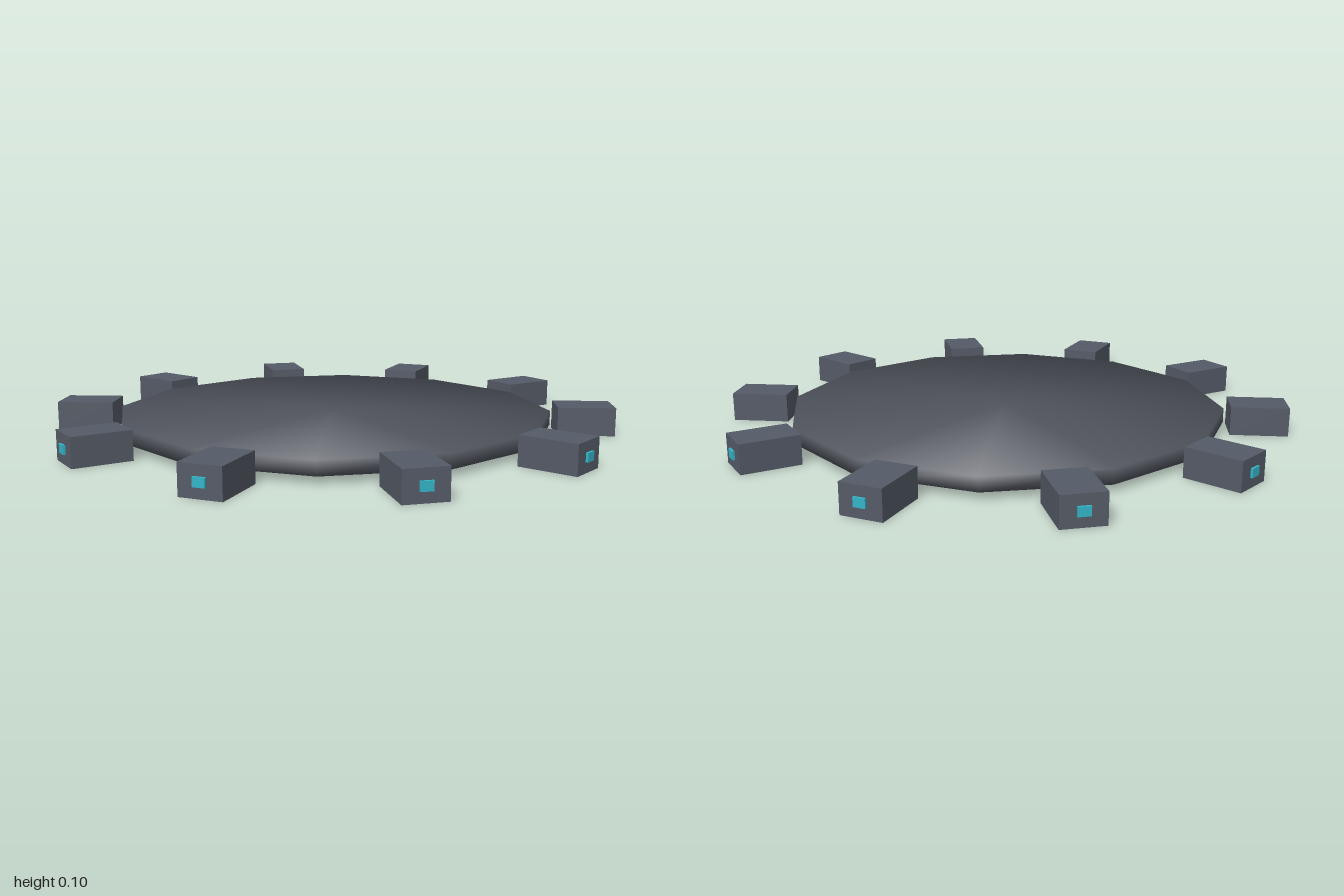
import * as THREE from 'three';

const material = (color) => new THREE.MeshStandardMaterial({ color });

// Twelve-sided disc whose normals lean outward, so rim and faces shade as one soft form
function createDisc(radius, height) {
  const geometry = new THREE.CylinderGeometry(radius, radius, height, 12);
  const position = geometry.attributes.position;
  const normal = geometry.attributes.normal;
  for (let i = 0; i < position.count; i++) {
    normal.setXYZ(
      i,
      (position.getX(i) / radius) * Math.SQRT1_2,
      Math.sign(position.getY(i)) * Math.SQRT1_2,
      (position.getZ(i) / radius) * Math.SQRT1_2
    );
  }
  return geometry;
}

export function createModel() {
  const model = new THREE.Group();
  model.name = 'discWithPods';

  const disc = new THREE.Mesh(createDisc(0.775, 0.05), material(0x4f535c));
  disc.name = 'disc';
  disc.position.y = 0.05;
  model.add(disc);

  // Ten pods around the rim, each with a small light on its outer end
  const podGeometry = new THREE.BoxGeometry(0.2, 0.1, 0.14);
  const lightGeometry = new THREE.BoxGeometry(0.02, 0.03, 0.04);
  const podMaterial = material(0x555b67);
  const lightMaterial = material(0x33b5c8);
  for (let i = 0; i < 10; i++) {
    const pod = new THREE.Group();
    pod.name = `pod${i + 1}`;
    pod.rotation.y = (i * Math.PI) / 5;

    const body = new THREE.Mesh(podGeometry, podMaterial);
    body.name = 'podBody';
    body.position.set(0.892, 0.05, 0);

    const light = new THREE.Mesh(lightGeometry, lightMaterial);
    light.name = 'podLight';
    light.position.set(0.99, 0.05, 0);

    pod.add(body, light);
    model.add(pod);
  }
  return model;
}
